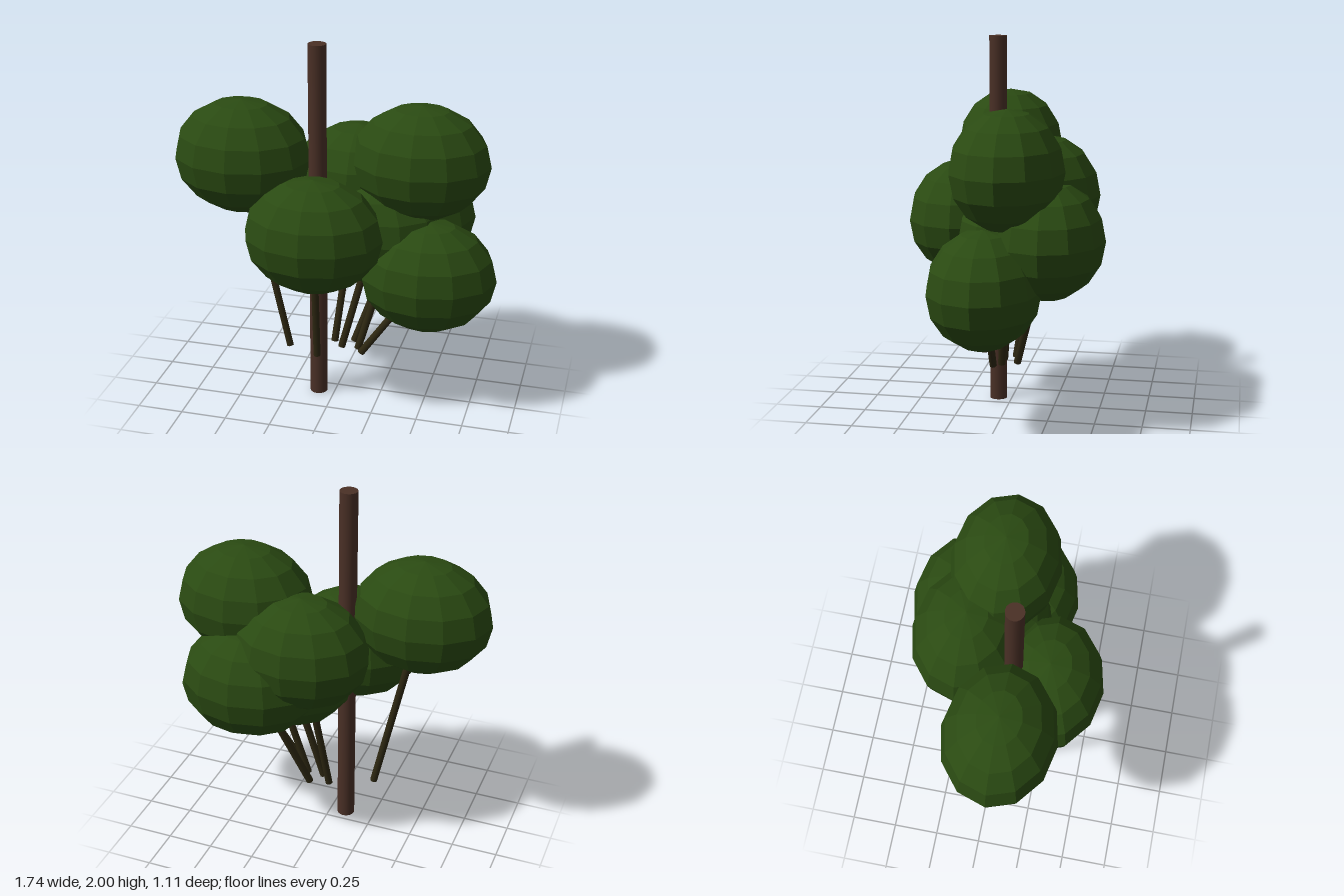
import * as THREE from 'three';

export function createModel() {
  const group = new THREE.Group();
  const bark = new THREE.MeshStandardMaterial({ name: 'bark', color: 0x4a3026 });
  const twig = new THREE.MeshStandardMaterial({ name: 'twig', color: 0x2e2812 });
  const leaf = new THREE.MeshStandardMaterial({ name: 'leaf green', color: 0x2a4a12, flatShading: true });

  const add = (name, geometry, material) => {
    const mesh = new THREE.Mesh(geometry, material);
    mesh.name = name;
    group.add(mesh);
    return mesh;
  };

  // Straight upright trunk
  const trunkX = -0.09, trunkZ = 0.075;
  add('trunk', new THREE.CylinderGeometry(0.048, 0.048, 2, 16), bark).position.set(trunkX, 1, trunkZ);

  // Centres of the leaf clumps
  const clumps = [
    [-0.5, 1.37, 0.08],
    [0.43, 1.365, -0.065],
    [-0.065, 1.03, 0.26],
    [0.5, 0.77, 0.04],
    [0.065, 1.19, -0.2],
    [0.33, 1.0, -0.26],
    [0.2, 0.97, -0.06],
  ];
  const clumpGeometry = new THREE.SphereGeometry(1, 12, 8).scale(0.37, 0.308, 0.295);
  const up = new THREE.Vector3(0, 1, 0);

  clumps.forEach(([x, y, z], i) => {
    const centre = new THREE.Vector3(x, y, z);
    add(`leafClump${i + 1}`, clumpGeometry, leaf).position.copy(centre);

    // Thin branch rising to the clump centre from a point partway out from the trunk
    const foot = new THREE.Vector3(
      THREE.MathUtils.lerp(trunkX, x, 0.4), 0.26, THREE.MathUtils.lerp(trunkZ, z, 0.4));
    const along = centre.clone().sub(foot);
    const branch = add(`branch${i + 1}`, new THREE.CylinderGeometry(0.02, 0.02, along.length(), 8), twig);
    branch.position.copy(foot).addScaledVector(along, 0.5);
    branch.quaternion.setFromUnitVectors(up, along.normalize());
  });

  return group;
}
